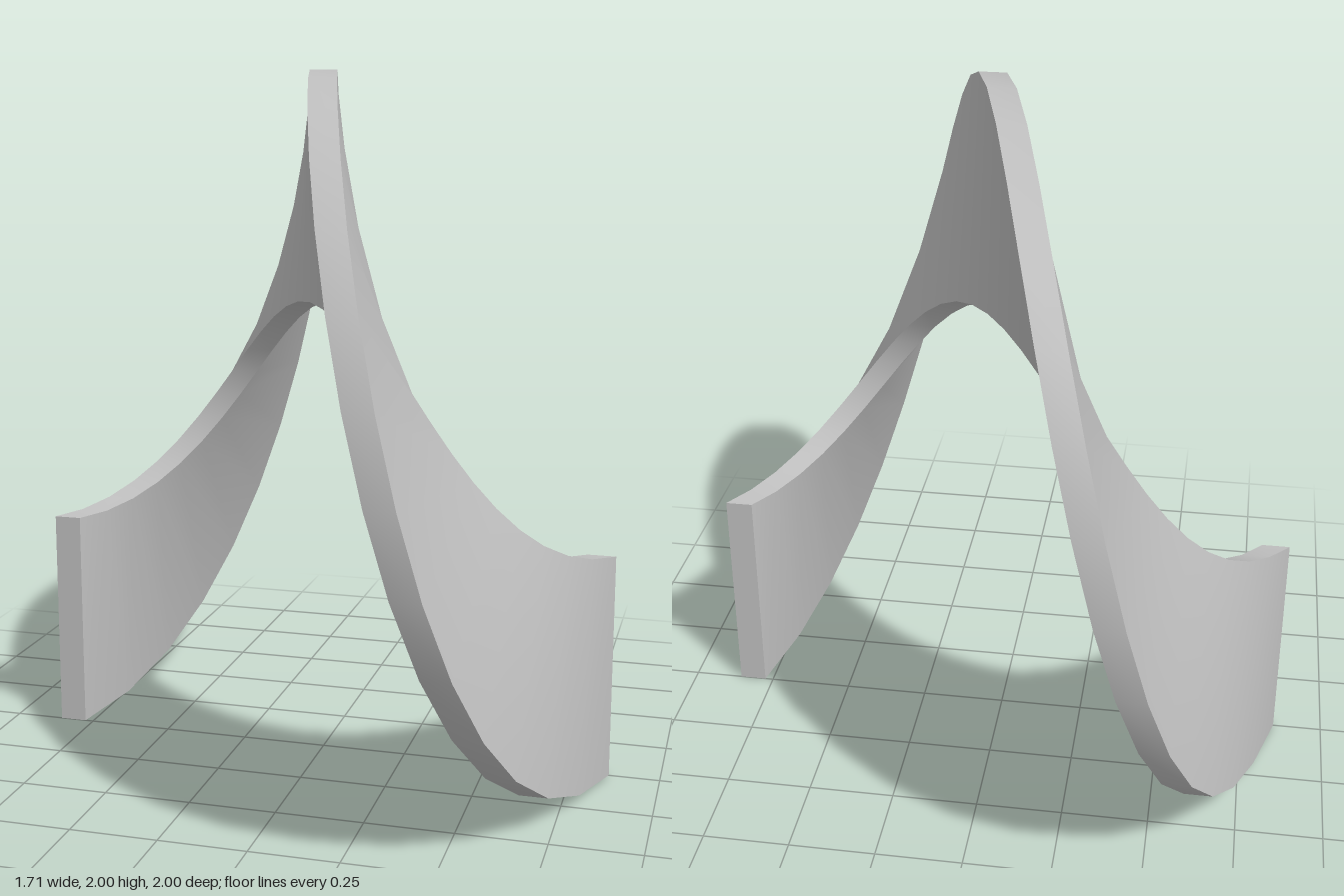
import * as THREE from 'three';

const SEGMENTS = 28;      // steps in the single full turn
const R_IN = 0.345, R_OUT = 1;
const HALF_TRAVEL = 0.815; // half the advance along x
const HALF_THICK = 0.04;   // half the blade thickness along x

// Rectangular section corners as [radius, x offset]
const SECTION = [
  [R_IN, -HALF_THICK], [R_OUT, -HALF_THICK],
  [R_OUT, HALF_THICK], [R_IN, HALF_THICK],
];

// Point of the section at turn fraction u, starting straight down
function helixPoint([r, dx], u) {
  const t = u * Math.PI * 2;
  return [
    HALF_TRAVEL * (2 * u - 1) + dx,
    1 - r * Math.cos(t),
    -r * Math.sin(t),
  ];
}

function bladeGeometry() {
  const positions = [], indices = [];

  // Four smooth strips with unshared vertices, so the corners stay sharp
  SECTION.forEach((corner, k) => {
    const next = SECTION[(k + 1) % SECTION.length];
    const base = positions.length / 3;
    for (let i = 0; i <= SEGMENTS; i++) {
      const u = i / SEGMENTS;
      positions.push(...helixPoint(corner, u), ...helixPoint(next, u));
      if (i < SEGMENTS) {
        const p = base + i * 2;
        indices.push(p, p + 2, p + 3, p, p + 3, p + 1);
      }
    }
  });

  // Flat end caps
  for (const u of [0, 1]) {
    const b = positions.length / 3;
    SECTION.forEach((c) => positions.push(...helixPoint(c, u)));
    if (u === 0) indices.push(b, b + 1, b + 2, b, b + 2, b + 3);
    else indices.push(b, b + 2, b + 1, b, b + 3, b + 2);
  }

  const geometry = new THREE.BufferGeometry();
  geometry.setAttribute('position', new THREE.Float32BufferAttribute(positions, 3));
  geometry.setIndex(indices);
  geometry.computeVertexNormals();
  return geometry;
}

export function createModel() {
  const grey = new THREE.MeshStandardMaterial({ color: 0xc0c0c0 });
  grey.name = 'light grey';

  const blade = new THREE.Mesh(bladeGeometry(), grey);
  blade.name = 'helicalBlade';

  const model = new THREE.Group();
  model.name = 'augerFlight';
  model.add(blade);
  return model;
}
